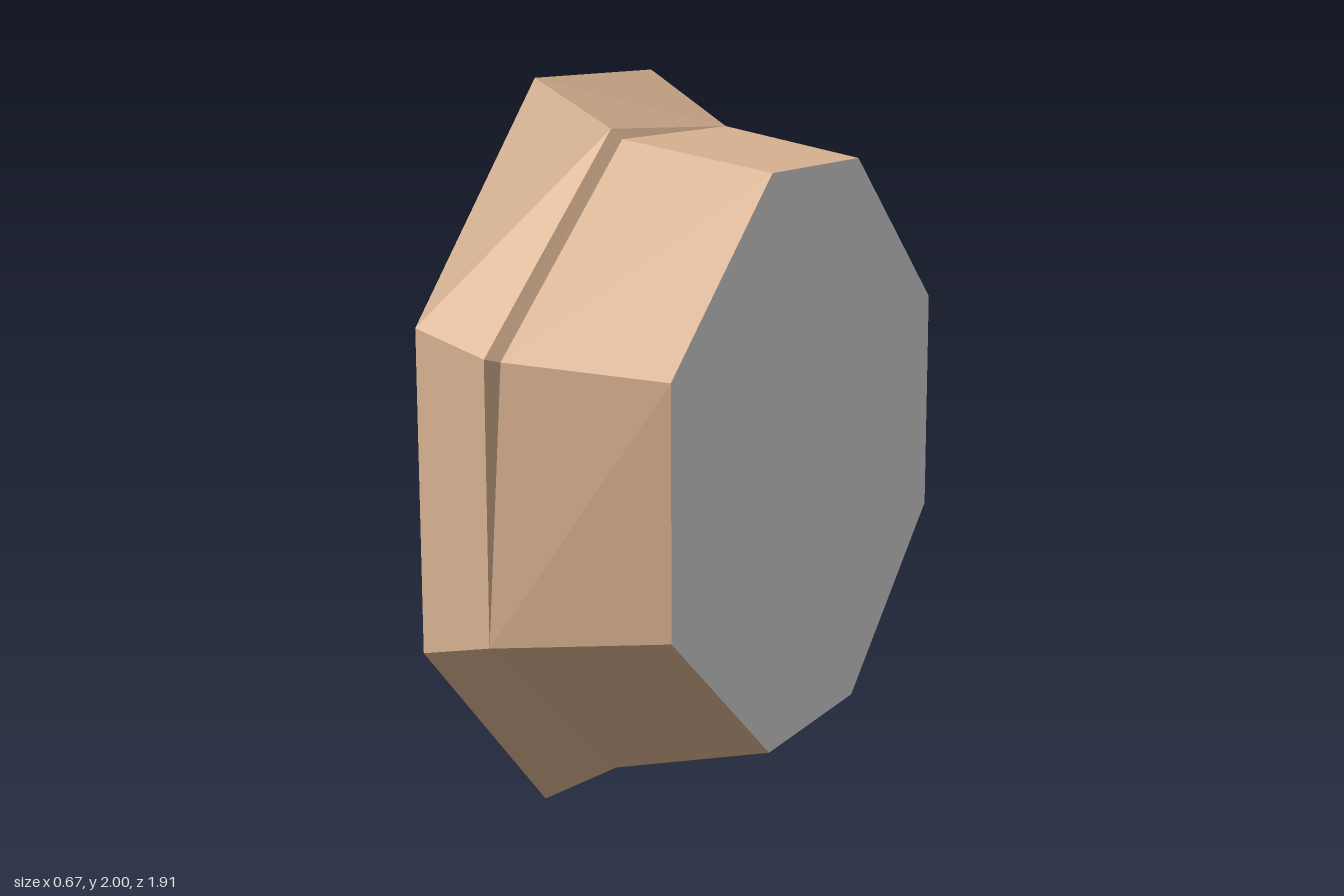
import * as THREE from 'three';

const tan = new THREE.MeshStandardMaterial({ color: 0xdfb795 });
tan.name = 'warm tan';
const grey = new THREE.MeshStandardMaterial({ color: 0xe0e0e0 });
grey.name = 'light grey';

// Octagon across x: flat top and bottom (half height h, half width a), upright sides (half height k, half width b)
function octagon(x, h, a, k, b) {
  return [[h, a], [h, -a], [k, -b], [-k, -b], [-h, -a], [-h, a], [-k, b], [k, b]]
    .map(([y, z]) => new THREE.Vector3(x, 1 + y, z));
}

function facetMesh(name, triangles, material) {
  const geometry = new THREE.BufferGeometry().setFromPoints(triangles.flat());
  geometry.computeVertexNormals();
  const mesh = new THREE.Mesh(geometry, material);
  mesh.name = name;
  return mesh;
}

// Triangles joining two rings, leaving out those that collapse where corners are shared
function loft(a, b) {
  const triangles = [];
  for (let i = 0; i < 8; i++) {
    const j = (i + 1) % 8;
    if (a[i] !== b[i]) triangles.push([a[i], b[i], b[j]]);
    if (a[j] !== b[j]) triangles.push([a[i], b[j], a[j]]);
  }
  return triangles;
}

function cap(ring, facesLeft) {
  const triangles = [];
  for (let i = 1; i < 7; i++) {
    triangles.push(facesLeft ? [ring[0], ring[i + 1], ring[i]] : [ring[0], ring[i], ring[i + 1]]);
  }
  return triangles;
}

export function createModel() {
  const group = new THREE.Group();
  group.name = 'octagonalCollar';

  const wide = octagon(-0.335, 1, 0.325, 0.415, 0.91);
  const ridge = octagon(-0.11, 0.873, 0.32, 0.36, 0.955);
  const groove = octagon(-0.085, 0.846, 0.305, 0.35, 0.92);
  const narrow = octagon(0.335, 0.772, 0.28, 0.32, 0.84);

  // The bevel between ridge and groove closes to a point at some corners
  ridge[1] = groove[1];
  for (const i of [4, 5, 6]) groove[i] = ridge[i];

  group.add(
    facetMesh('wideBand', loft(wide, ridge), tan),
    facetMesh('bevelStrip', loft(ridge, groove), tan),
    facetMesh('narrowBand', loft(groove, narrow), tan),
    facetMesh('wideEndCap', cap(wide, false), grey),
    facetMesh('narrowEndCap', cap(narrow, true), grey)
  );
  return group;
}
